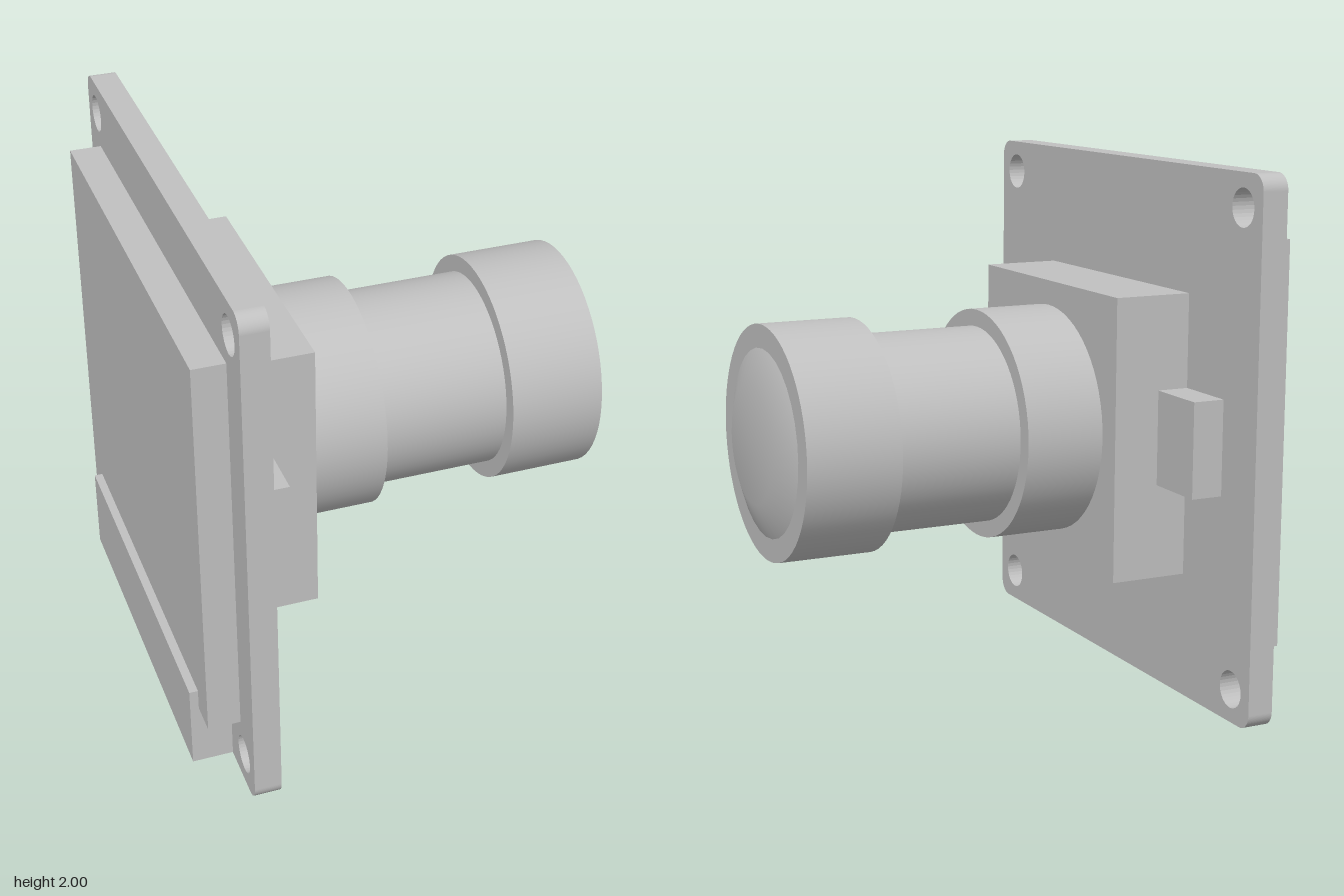
import * as THREE from 'three';

export function createModel() {
  const model = new THREE.Group();
  model.name = 'cameraModule';
  const grey = new THREE.MeshStandardMaterial({ color: 0xc0c0c0 });
  grey.name = 'light grey';
  const midY = 1.003;

  const add = (name, geometry) => {
    const mesh = new THREE.Mesh(geometry, grey);
    mesh.name = name;
    model.add(mesh);
    return mesh;
  };

  // Box given by its limits on each axis
  const box = (name, [x0, x1], [y0, y1], [z0, z1]) =>
    add(name, new THREE.BoxGeometry(x1 - x0, y1 - y0, z1 - z0))
      .position.set((x0 + x1) / 2, (y0 + y1) / 2, (z0 + z1) / 2);

  // Cylinder lying along x
  const barrel = (name, x0, x1, radius) => {
    const mesh = add(name, new THREE.CylinderGeometry(radius, radius, x1 - x0, 64));
    mesh.rotation.z = -Math.PI / 2;
    mesh.position.set((x0 + x1) / 2, midY, 0);
  };

  // Circuit board: rounded square with a mounting hole in each corner
  const r = 0.06;
  const k = 1 - r;
  const board = new THREE.Shape();
  board.absarc(k, k, r, 0, Math.PI / 2);
  board.absarc(-k, k, r, Math.PI / 2, Math.PI);
  board.absarc(-k, -k, r, Math.PI, Math.PI * 1.5);
  board.absarc(k, -k, r, Math.PI * 1.5, Math.PI * 2);
  board.closePath();
  for (const sx of [-1, 1]) {
    for (const sy of [-1, 1]) {
      const hole = new THREE.Path();
      hole.absarc(sx * 0.876, sy * 0.876, 0.07, 0, Math.PI * 2, true);
      board.holes.push(hole);
    }
  }
  const boardGeometry = new THREE.ExtrudeGeometry(board, {
    depth: 0.1, bevelEnabled: false, curveSegments: 16,
  });
  boardGeometry.rotateY(Math.PI / 2);
  add('circuitBoard', boardGeometry).position.set(-0.73, 1, 0);

  // Lens mount with a tab on each side
  box('lensMount', [-0.63, -0.33], [0.472, 1.534], [-0.532, 0.532]);
  box('leftTab', [-0.63, -0.508], [0.826, 1.182], [0.53, 0.782]);
  box('rightTab', [-0.63, -0.508], [0.826, 1.182], [-0.782, -0.53]);

  // Blocks on the rear of the board
  box('rearBlock', [-0.85, -0.73], [0.25, 1.753], [-0.845, 0.843]);
  box('rearConnector', [-0.882, -0.73], [0.002, 0.33], [-0.724, 0.722]);

  // Stepped lens barrel
  barrel('barrelBase', -0.33, -0.025, 0.437);
  barrel('barrelNeck', -0.025, 0.47, 0.373);
  barrel('barrelHead', 0.47, 0.83, 0.437);

  // Shallow lens, smooth from rim to flat centre
  const lens = add('lens', new THREE.LatheGeometry([
    new THREE.Vector2(0.35, 0),
    new THREE.Vector2(0.22, 0.05),
    new THREE.Vector2(0, 0.05),
  ], 32));
  lens.rotation.z = -Math.PI / 2;
  lens.position.set(0.83, midY, 0);

  return model;
}
